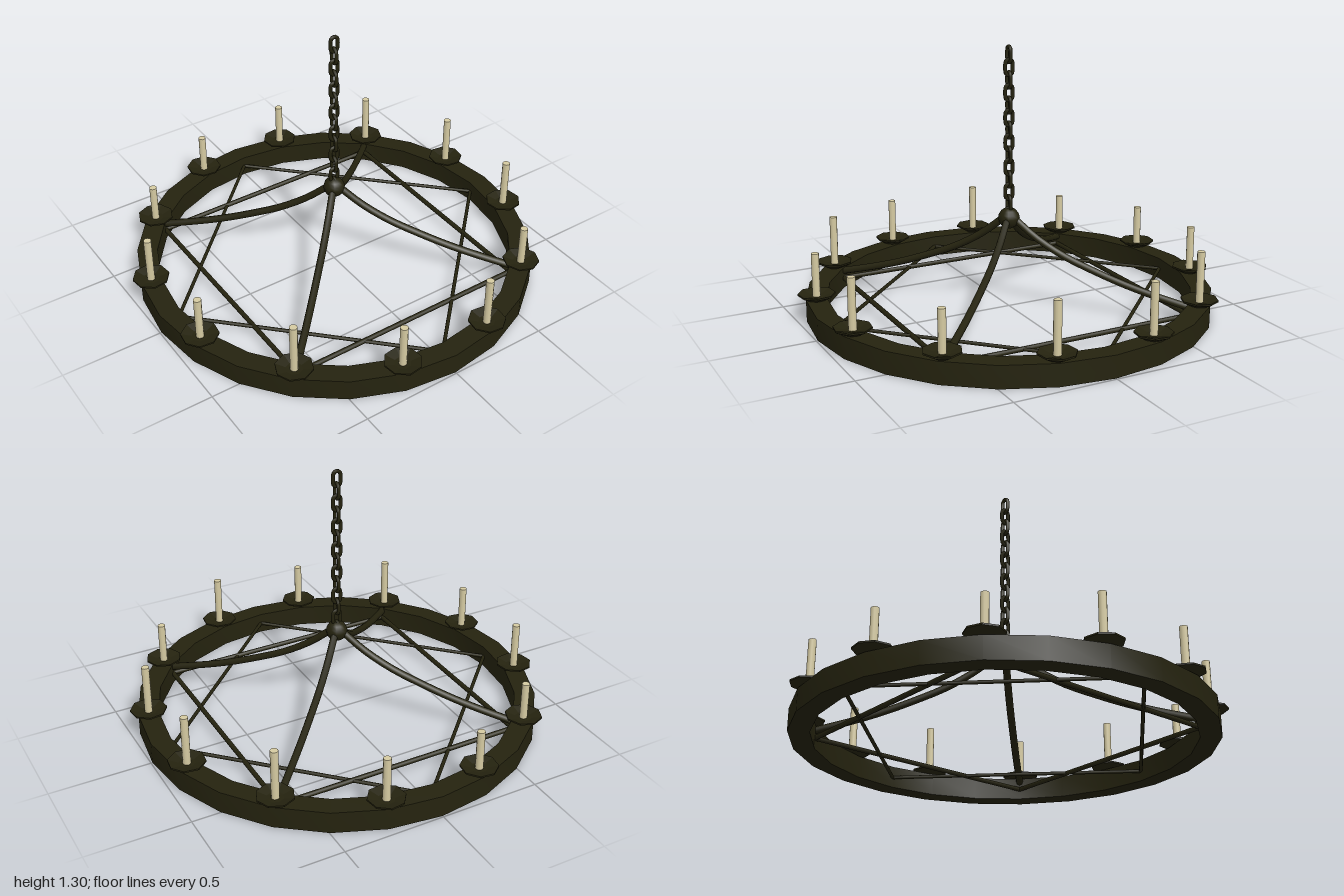
import * as THREE from 'three';
import { toCreasedNormals } from 'three/addons/utils/BufferGeometryUtils.js';

const iron = new THREE.MeshStandardMaterial({ color: 0x25230f });
iron.name = 'dark iron';
const wax = new THREE.MeshStandardMaterial({ color: 0xd6cba2 });
wax.name = 'cream wax';

const v2 = (points) => points.map(([x, y]) => new THREE.Vector2(x, y));

function part(name, geometry, material, parent) {
  const mesh = new THREE.Mesh(geometry, material);
  mesh.name = name;
  parent.add(mesh);
  return mesh;
}

// Straight round rod between two points
function rod(name, a, b, radius, parent) {
  const curve = new THREE.LineCurve3(a, b);
  return part(name, new THREE.TubeGeometry(curve, 1, radius, 8), iron, parent);
}

export function createModel() {
  const model = new THREE.Group();
  model.name = 'chandelier';

  // Heavy hoop
  const hoop = new THREE.LatheGeometry(
    v2([[0.892, 0], [0.993, 0], [0.993, 0.108], [0.892, 0.108], [0.892, 0]]), 24);
  part('hoop', toCreasedNormals(hoop, 0.5), iron, model);

  // Two crossed squares of rods inside the hoop
  const corner = (angle) =>
    new THREE.Vector3(Math.sin(angle) * 0.895, 0.052, Math.cos(angle) * 0.895);
  for (let i = 0; i < 4; i++) {
    const a = i * Math.PI / 2, q = Math.PI / 4;
    rod('squareRod', corner(a + q), corner(a + 3 * q), 0.012, model);
    rod('diamondRod', corner(a), corner(a + 2 * q), 0.009, model);
  }

  // Four sagging arms from the hub to the hoop
  const armCurve = new THREE.CatmullRomCurve3(
    [[0.02, 0.46], [0.14, 0.365], [0.28, 0.285], [0.42, 0.228], [0.57, 0.175], [0.71, 0.135], [0.9, 0.09]]
      .map(([r, y]) => new THREE.Vector3(0, y, r)));
  const armGeometry = new THREE.TubeGeometry(armCurve, 18, 0.018, 8);
  for (let i = 0; i < 4; i++) {
    part('arm', armGeometry, iron, model).rotation.y = Math.PI / 4 + i * Math.PI / 2;
  }

  // Hub
  part('hub', new THREE.SphereGeometry(0.053, 12, 8), iron, model).position.y = 0.455;

  // Chain of alternating oval links
  class Oval extends THREE.Curve {
    getPoint(t, target = new THREE.Vector3()) {
      const a = t * Math.PI * 2, s = Math.sin(a);
      return target.set(Math.cos(a) * 0.02, s * 0.02 + Math.tanh(s * 4) * 0.018, 0);
    }
  }
  const linkGeometry = new THREE.TubeGeometry(new Oval(), 20, 0.0095, 6, true);
  const chain = new THREE.Group();
  chain.name = 'chain';
  model.add(chain);
  for (let i = 0; i < 14; i++) {
    const link = part('chainLink', linkGeometry, iron, chain);
    link.position.y = 1.257 - i * 0.0608;
    link.rotation.y = (i % 2) * Math.PI / 2;
  }

  // Twelve drip dishes with candles of differing heights
  const dishGeometry = toCreasedNormals(new THREE.LatheGeometry(
    v2([[0, 0.105], [0.04, 0.107], [0.09, 0.133], [0.09, 0.141], [0.04, 0.127], [0, 0.125]]), 8), 0.1);
  const tops = [0.375, 0.33, 0.375, 0.375, 0.375, 0.345, 0.325, 0.315, 0.36, 0.345, 0.375, 0.34];
  tops.forEach((top, i) => {
    const holder = new THREE.Group();
    holder.name = 'candleHolder';
    const angle = (15 + 30 * i) * Math.PI / 180;
    holder.position.set(Math.sin(angle) * 0.942, 0, Math.cos(angle) * 0.942);
    holder.rotation.y = angle;
    model.add(holder);
    part('dripDish', dishGeometry, iron, holder);
    const candle = new THREE.CylinderGeometry(0.019, 0.019, top - 0.12, 10);
    part('candle', candle, wax, holder).position.y = (top + 0.12) / 2;
  });

  return model;
}
